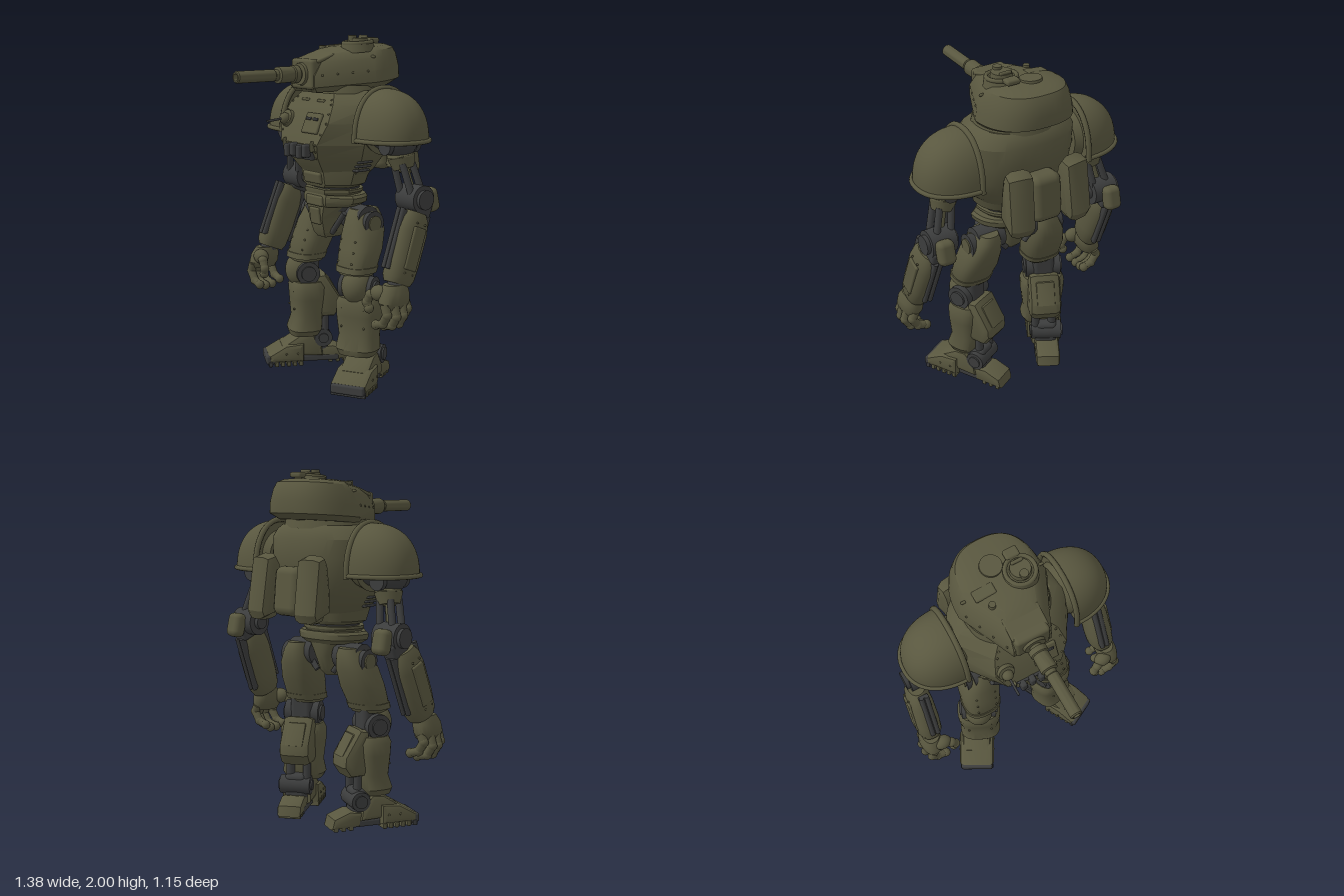
import * as THREE from 'three';
import { toCreasedNormals } from 'three/addons/utils/BufferGeometryUtils.js';
import { RoundedBoxGeometry } from 'three/addons/geometries/RoundedBoxGeometry.js';

const V = (p) => new THREE.Vector3(...p);
const olive = new THREE.MeshStandardMaterial({ name: 'olive armour', color: 0x59573f, side: THREE.DoubleSide });
const steel = new THREE.MeshStandardMaterial({ name: 'dark steel', color: 0x3c3d3d });

function add(parent, name, geo, mat, pos = [0, 0, 0], rot = [0, 0, 0]) {
  const m = new THREE.Mesh(geo, mat);
  m.name = name;
  m.position.set(...pos);
  m.rotation.set(...rot);
  parent.add(m);
  return m;
}
const box = (w, h, d, r = 0.012) => new RoundedBoxGeometry(w, h, d, 2, Math.min(r, w / 2.1, h / 2.1, d / 2.1));
const cyl = (r1, r2, h, n = 24) => new THREE.CylinderGeometry(r1, r2, h, n);
const ball = (r) => new THREE.SphereGeometry(r, 24, 16);
const AX = [0, 0, Math.PI / 2], AZ = [Math.PI / 2, 0, 0];
const pow = (v, p) => Math.sign(v) * Math.abs(v) ** p;

// Rod from a to b
function rod(parent, name, mat, a, b, ra, rb = ra, n = 14) {
  const d = V(b).sub(V(a));
  const m = add(parent, name, cyl(rb, ra, d.length(), n), mat, V(a).add(V(b)).multiplyScalar(0.5).toArray());
  m.quaternion.setFromUnitVectors(new THREE.Vector3(0, 1, 0), d.normalize());
  return m;
}
// Skin over rings of points, listed from bottom to top
function loft(rings, crease = 0.6) {
  const n = rings[0].length, pos = rings.flat(2), idx = [];
  for (let i = 0; i < rings.length - 1; i++) for (let j = 0; j < n; j++) {
    const a = i * n + j, b = i * n + (j + 1) % n;
    idx.push(a, b, b + n, a, b + n, a + n);
  }
  [0, rings.length - 1].forEach((r) => {
    const c = [0, 1, 2].map((k) => rings[r].reduce((s, p) => s + p[k], 0) / n), ci = pos.length / 3;
    pos.push(...c);
    for (let j = 0; j < n; j++) {
      const a = r * n + j, b = r * n + (j + 1) % n;
      idx.push(ci, ...(r ? [a, b] : [b, a]));
    }
  });
  const g = new THREE.BufferGeometry();
  g.setAttribute('position', new THREE.Float32BufferAttribute(pos, 3));
  g.setIndex(idx);
  return toCreasedNormals(g, crease);
}
// Hull section: flat front, slanted cheeks, round back
function hull([y, w, fw, zf, zb], k, tilt = 0) {
  const zm = zf - k * (zf - zb), pts = [[fw, zf]];
  for (let i = 0; i <= 24; i++) {
    const t = Math.PI * i / 24;
    pts.push([w * pow(Math.cos(t), 0.8), zm + (zb - zm) * Math.sin(t) ** 0.8]);
  }
  pts.push([-fw, zf]);
  return pts.map(([x, z]) => [x, y - tilt * (z + 0.15), z]);
}
// Superellipse section
function oval([cx, y, cz, w, d], p = 0.7) {
  return Array.from({ length: 28 }, (_, i) => {
    const t = i / 28 * Math.PI * 2;
    return [cx + w * pow(Math.cos(t), p), y, cz - d * pow(Math.sin(t), p)];
  });
}
// Side profile in (z, y), widened along x
function slab(profile, width, bevel = 0.015) {
  const g = new THREE.ExtrudeGeometry(new THREE.Shape(profile.map((p) => new THREE.Vector2(...p))), {
    depth: width - 2 * bevel, bevelSize: bevel, bevelThickness: bevel, bevelOffset: -bevel, bevelSegments: 2 });
  g.translate(0, 0, bevel - width / 2).rotateY(-Math.PI / 2);
  return toCreasedNormals(g, 0.5);
}
const pipe = (points, r) => new THREE.TubeGeometry(new THREE.CatmullRomCurve3(points.map(V)), 40, r, 8);
const rivetGeo = new THREE.SphereGeometry(0.0065, 8, 6);
const rivet = (g, p) => add(g, 'rivet', rivetGeo, olive, p);

// Baked mirror image of a side group
function mirrored(group, name) {
  const out = new THREE.Group();
  out.name = name;
  group.updateMatrixWorld(true);
  group.traverse((m) => {
    if (!m.isMesh) return;
    const g = m.geometry.index ? m.geometry.toNonIndexed() : m.geometry.clone();
    g.applyMatrix4(new THREE.Matrix4().makeScale(-1, 1, 1).multiply(m.matrixWorld));
    for (const a of Object.values(g.attributes)) for (let i = 0; i < a.count; i += 3) for (let k = 0; k < a.itemSize; k++) {
      const t = a.getComponent(i + 1, k);
      a.setComponent(i + 1, k, a.getComponent(i + 2, k));
      a.setComponent(i + 2, k, t);
    }
    add(out, m.name, g, m.material);
  });
  return out;
}

function buildTurret() {
  const g = new THREE.Group();
  g.name = 'turret';
  const rows = [[1.705, 0.235, 0.1, 0.1, -0.42], [1.735, 0.262, 0.11, 0.125, -0.488], [1.8, 0.252, 0.11, 0.125, -0.49],
    [1.87, 0.228, 0.1, 0.07, -0.475], [1.905, 0.208, 0.09, 0.01, -0.455], [1.923, 0.18, 0.07, -0.04, -0.41], [1.933, 0.1, 0.04, -0.1, -0.32]];
  add(g, 'turret shell', loft(rows.map((r) => hull(r, 0.52, 0.08)), 0.5), olive);
  add(g, 'mantlet', box(0.2, 0.17, 0.1, 0.02), olive, [0, 1.785, 0.085]);
  add(g, 'mantlet roof', box(0.21, 0.02, 0.13), olive, [0, 1.872, 0.04], [0.3, 0, 0]);
  add(g, 'mantlet collar', cyl(0.06, 0.068, 0.03, 28), olive, [0, 1.785, 0.135], AZ);
  // Gun barrel along z
  const gun = [[0, 0], [0.05, 0], [0.05, 0.03], [0.032, 0.035], [0.032, 0.05], [0.05, 0.055], [0.05, 0.085], [0.043, 0.09], [0.046, 0.185], [0.032, 0.19],
    [0.029, 0.21], [0.033, 0.215], [0.033, 0.455], [0.028, 0.462], [0.02, 0.462], [0.02, 0.43], [0, 0.43]];
  add(g, 'gun barrel', toCreasedNormals(new THREE.LatheGeometry(gun.map((p) => new THREE.Vector2(...p)), 28), 0.6), olive, [0, 1.785, 0.113], AZ);
  // Roof fittings
  add(g, 'cupola base', cyl(0.088, 0.098, 0.05, 36), olive, [0.1, 1.93, -0.19], [0.08, 0, 0]);
  add(g, 'cupola rim', new THREE.TorusGeometry(0.08, 0.012, 8, 36), olive, [0.1, 1.955, -0.19], [Math.PI / 2 + 0.08, 0, 0]);
  add(g, 'cupola hatch', cyl(0.055, 0.06, 0.03), olive, [0.1, 1.965, -0.19]);
  add(g, 'hatch periscope', cyl(0.024, 0.024, 0.03), olive, [0.1, 1.98, -0.15]);
  add(g, 'hatch hinge', box(0.08, 0.03, 0.06), olive, [0.1, 1.965, -0.29]);
  add(g, 'hatch handle', box(0.07, 0.02, 0.02), olive, [0.1, 1.985, -0.23]);
  add(g, 'loader hatch', cyl(0.06, 0.064, 0.03), olive, [-0.02, 1.94, -0.285], [0.08, 0, 0]);
  add(g, 'roof plate', box(0.12, 0.02, 0.065), olive, [-0.115, 1.925, -0.18], [0.08, 0, 0.1]);
  add(g, 'roof vent', cyl(0.018, 0.02, 0.025), olive, [-0.11, 1.92, -0.1]);
  for (const s of [-1, 1]) {
    add(g, 'lifting eye', box(0.03, 0.016, 0.016), olive, [s * 0.225, 1.88, -0.2]);
    for (let i = 0; i < 4; i++) {
      const t = (i + 0.5) / 4, z = 0.125 - 0.32 * t;
      rivet(g, [s * (0.11 + 0.142 * t), 1.8 - 0.08 * (z + 0.15), z]);
    }
  }
  return g;
}

function buildTorso() {
  const g = new THREE.Group();
  g.name = 'torso';
  const rows = [[1.18, 0.17, 0.08, 0.02, -0.25], [1.21, 0.21, 0.09, 0.04, -0.275], [1.25, 0.25, 0.105, 0.07, -0.305], [1.32, 0.296, 0.13, 0.12, -0.355],
    [1.4, 0.325, 0.165, 0.155, -0.395], [1.52, 0.335, 0.215, 0.115, -0.415], [1.62, 0.33, 0.19, 0.06, -0.41], [1.67, 0.29, 0.15, 0.02, -0.39], [1.695, 0.25, 0.12, 0, -0.37]];
  add(g, 'chest shell', loft(rows.map((r) => hull(r, 0.38)), 0.45), olive);
  add(g, 'turret ring', cyl(0.235, 0.245, 0.045, 48).scale(1, 1, 0.9), olive, [0, 1.7, -0.17]);
  // Rivets along the edges of the chest panel
  for (let i = 3; i < 7; i++) for (let k = 0; k < 2; k++) for (const s of [-1, 1]) {
    const p = rows[i].map((v, c) => v + (rows[i + 1][c] - v) * k / 2);
    rivet(g, [s * (p[2] - 0.015), p[0], p[3]]);
  }
  add(g, 'chest hatch', box(0.14, 0.12, 0.02), olive, [0.08, 1.515, 0.118], [-0.42, 0, 0]);
  [0.05, 0.11].forEach((x) => add(g, 'vision slit', box(0.045, 0.016, 0.012, 0.004), steel, [x, 1.54, 0.119], [-0.42, 0, 0]));
  add(g, 'gun port', cyl(0.046, 0.052, 0.03), olive, [-0.155, 1.525, 0.114], [Math.PI / 2 - 0.4, 0, 0]);
  add(g, 'gun ball', ball(0.032), olive, [-0.155, 1.525, 0.135]);
  rod(g, 'machine gun', steel, [-0.155, 1.525, 0.15], [-0.155, 1.515, 0.26], 0.007);
  add(g, 'grille', box(0.21, 0.09, 0.05), steel, [0, 1.355, 0.13], [0.4, 0, 0]);
  [-0.08, -0.025, 0.03, 0.085].forEach((x, i) => add(g, 'grille block', box(0.035, 0.075, 0.05), steel, [x, 1.355 + (i % 2) * 0.01, 0.168]));
  [-1, 1].forEach((s) => add(g, 'grille bracket', box(0.014, 0.06, 0.03), olive, [s * 0.125, 1.39, 0.155]));
  [-0.07, 0.07].forEach((x) => add(g, 'chest clasp', box(0.07, 0.016, 0.02), olive, [x, 1.635, 0.045]));
  add(g, 'back housing', box(0.18, 0.27, 0.14, 0.045), olive, [0, 1.34, -0.45], [0.1, 0, 0]);
  // Abdomen and pelvis
  add(g, 'abdomen core', loft([[0, 1, -0.11, 0.13, 0.1], [0, 1.12, -0.11, 0.155, 0.12], [0, 1.22, -0.11, 0.17, 0.13]].map((r) => oval(r, 0.9))), steel);
  const plate = (name, r) => add(g, name, loft(r.map((q) => hull(q, 0.35)), 0.4), olive);
  plate('upper abdomen plate', [[1.14, 0.16, 0.08, 0.035, -0.245], [1.16, 0.2, 0.1, 0.045, -0.26], [1.25, 0.235, 0.1, 0.06, -0.285]]);
  plate('middle abdomen plate', [[1.085, 0.15, 0.08, 0.03, -0.235], [1.115, 0.185, 0.09, 0.04, -0.25], [1.13, 0.185, 0.09, 0.04, -0.25]]);
  plate('belt', [[1.03, 0.17, 0.09, 0.03, -0.24], [1.055, 0.215, 0.1, 0.04, -0.26], [1.085, 0.222, 0.1, 0.04, -0.26], [1.1, 0.205, 0.1, 0.035, -0.255]]);
  plate('pelvis', [[0.84, 0.045, 0.035, -0.01, -0.16], [0.87, 0.07, 0.05, 0.01, -0.19], [0.96, 0.085, 0.06, 0.035, -0.23], [1.05, 0.14, 0.08, 0.035, -0.245]]);
  add(g, 'abdomen boss', box(0.16, 0.07, 0.03, 0.014), olive, [0, 1.195, 0.05], [0.25, 0, 0]);
  add(g, 'belt buckle', box(0.15, 0.06, 0.03), olive, [0, 1.06, 0.035]);
  add(g, 'pelvis plate', box(0.09, 0.1, 0.02), olive, [0, 0.97, 0.035], [0.15, 0, 0]);
  return g;
}

// Backpack pod, vent, shoulder, arm and hand on +x
function buildArm() {
  const g = new THREE.Group();
  g.name = 'left arm';
  const pod = [[0.06, 0.13], [0.03, 0.18], [-0.04, 0.16], [-0.085, -0.13], [-0.065, -0.175], [0.09, -0.13], [0.08, 0.02]];
  add(g, 'backpack pod', slab(pod, 0.16, 0.045), olive, [0.172, 1.36, -0.485], [0, -0.15, 0]);
  add(g, 'pod nozzle', cyl(0.06, 0.052, 0.03), olive, [0.172, 1.207, -0.475], [-0.28, 0, 0]);
  add(g, 'pod exhaust', cyl(0.04, 0.04, 0.034), steel, [0.172, 1.206, -0.475], [-0.28, 0, 0]);
  for (let i = 0; i < 3; i++) add(g, 'side vent', box(0.04, 0.014, 0.1), steel, [0.245 + i * 0.013, 1.25 + i * 0.025, -0.1]);
  // Quarter-dome pauldron with full shoulders
  const dome = new THREE.SphereGeometry(1, 32, 20, Math.PI / 2, Math.PI, 0, Math.PI / 2), dp = dome.attributes.position;
  for (let i = 0; i < dp.count; i++) dp.setXYZ(i, pow(dp.getX(i), 0.88), pow(dp.getY(i), 0.88), pow(dp.getZ(i), 0.88));
  dome.scale(0.275, 0.275, 0.208).computeVertexNormals();
  add(g, 'pauldron', dome, olive, [0.335, 1.435, -0.185]);
  const arc = (f) => Array.from({ length: 17 }, (_, i) => f(pow(Math.cos(i / 16 * Math.PI), 0.88), Math.sin(i / 16 * Math.PI) ** 0.88));
  add(g, 'pauldron lip', pipe(arc((c, s) => [0.335 + 0.28 * s, 1.435, -0.185 + 0.21 * c]), 0.013), olive);
  add(g, 'pauldron collar', pipe(arc((c, s) => [0.333, 1.42 + 0.293 * s, -0.185 + 0.21 * c]), 0.016), olive);
  add(g, 'pauldron inner wall', new THREE.CircleGeometry(1, 32, 0, Math.PI).scale(0.208, 0.285, 1), olive, [0.335, 1.425, -0.185], [0, Math.PI / 2, 0]);
  add(g, 'shoulder mount', cyl(0.14, 0.16, 0.06, 32), olive, [0.318, 1.5, -0.185], AX);
  add(g, 'shoulder axle', cyl(0.12, 0.12, 0.11), steel, [0.395, 1.49, -0.185], AX);
  add(g, 'shoulder joint', ball(0.105), steel, [0.46, 1.44, -0.19]);
  [-1, 1].forEach((s) => add(g, 'shoulder bracket', cyl(0.05, 0.05, 0.03), steel, [0.465, 1.41, -0.19 + s * 0.1], AZ));
  // Upper arm
  rod(g, 'upper arm collar', olive, [0.48, 1.28, -0.21], [0.465, 1.345, -0.2], 0.06, 0.078, 20);
  rod(g, 'upper arm cap', olive, [0.465, 1.345, -0.2], [0.46, 1.385, -0.195], 0.078, 0.06, 20);
  for (const [x, z] of [[-1, -1], [1, -1], [-1, 1], [1, 1]])
    rod(g, 'upper arm strut', steel, [0.515 + x * 0.045, 1.13, -0.24 + z * 0.04], [0.475 + x * 0.036, 1.31, -0.205 + z * 0.036], 0.02);
  rod(g, 'upper arm rod', olive, [0.515, 1.15, -0.24], [0.477, 1.3, -0.21], 0.022);
  add(g, 'elbow', cyl(0.078, 0.078, 0.15, 28), steel, [0.525, 1.115, -0.25], AX);
  add(g, 'elbow cap', cyl(0.04, 0.055, 0.195), steel, [0.525, 1.115, -0.25], AX);
  add(g, 'elbow guard', box(0.1, 0.14, 0.08, 0.032), olive, [0.54, 1.1, -0.35], [0.25, 0, 0]);
  add(g, 'elbow link', box(0.09, 0.09, 0.12, 0.02), steel, [0.555, 1.06, -0.26], [-0.37, 0, 0]);
  // Forearm, swung forward, with sunken pistons front and back
  const f = new THREE.Group();
  f.name = 'forearm';
  f.position.set(0.582, 0.86, -0.14);
  f.rotation.set(-0.37, 0, 0.04);
  g.add(f);
  add(f, 'forearm shell', loft([[0, -0.205, 0, 0.06, 0.078], [0, -0.17, 0, 0.074, 0.092], [0, -0.08, 0, 0.077, 0.1], [0, 0.09, 0, 0.072, 0.104],
    [0, 0.16, 0, 0.064, 0.092], [0, 0.2, 0, 0.045, 0.07]].map((r) => oval(r, 0.85))), olive);
  [-1, 1].forEach((t) => {
    add(f, 'forearm slot', box(0.06, 0.33, 0.03, 0.008), steel, [-0.012, 0.03, t * 0.088]);
    [-1, 1].forEach((s) => add(f, 'forearm piston', cyl(0.014, 0.014, 0.34, 12), steel, [-0.012 + s * 0.016, 0.03, t * 0.1]));
  });
  add(f, 'forearm panel', box(0.02, 0.24, 0.09), olive, [0.07, 0, 0]);
  for (const y of [-0.14, 0.14]) for (const z of [-0.03, 0.03]) rivet(f, [0.07, y, z]);
  // Hand with curled fingers
  rod(g, 'wrist', steel, [0.595, 0.72, -0.085], [0.6, 0.62, -0.04], 0.055, 0.05);
  add(g, 'palm', loft([[0.615, 0.545, -0.028, 0.045, 0.075], [0.612, 0.58, -0.03, 0.062, 0.095], [0.605, 0.63, -0.035, 0.064, 0.09],
    [0.6, 0.675, -0.045, 0.05, 0.07]].map((r) => oval(r, 0.85))), olive);
  add(g, 'thumb base', ball(1).scale(0.055, 0.045, 0.042), olive, [0.555, 0.625, 0.03]);
  const finger = (name, pts, r) => pts.slice(1).forEach((p, i) => {
    rod(g, name, olive, pts[i], p, r * (1 - 0.05 * i), r * (0.94 - 0.05 * i), 12);
    add(g, name + ' joint', new THREE.SphereGeometry(r * 1.02, 12, 8), olive, p);
  });
  [[0.022, 0.025], [0, 0], [0, -0.003], [0.02, 0.01]].forEach(([inset, d], i) => {
    const z = -0.105 + i * 0.05;
    finger('finger', [[0.64 - inset, 0.575, z], [0.66 - inset, 0.51 + d, z], [0.625 - inset, 0.455 + d, z], [0.56 - inset / 2, 0.438 + d, z]], 0.027);
  });
  finger('thumb', [[0.56, 0.625, 0.03], [0.505, 0.61, 0.05], [0.483, 0.565, 0.055], [0.495, 0.53, 0.05]], 0.028);
  return g;
}

// Hip, thigh, knee, shin and foot on +x
function buildLeg() {
  const g = new THREE.Group();
  g.name = 'left leg';
  add(g, 'hip joint', cyl(0.075, 0.075, 0.17, 28), steel, [0.17, 0.965, -0.15], AX);
  add(g, 'hip disc', cyl(0.06, 0.07, 0.05), steel, [0.275, 0.945, -0.155], AX);
  add(g, 'hip cap', cyl(0.035, 0.045, 0.07), olive, [0.275, 0.945, -0.155], AX);
  [-0.04, -0.18].forEach((z) => rod(g, 'hip strut', steel, [0.06, 0.87, z], [0.17, 1, z], 0.016));
  add(g, 'thigh', loft([[0.235, 0.655, -0.075, 0.095, 0.085], [0.235, 0.69, -0.08, 0.11, 0.1], [0.222, 0.8, -0.12, 0.118, 0.112], [0.21, 0.9, -0.15, 0.105, 0.115],
    [0.195, 0.98, -0.165, 0.078, 0.105], [0.188, 1.02, -0.17, 0.058, 0.085]].map((r) => oval(r, 0.75))), olive);
  add(g, 'thigh band', loft([[0.236, 0.672, -0.075, 0.114, 0.102], [0.234, 0.705, -0.085, 0.117, 0.107]].map((r) => oval(r, 0.75))), olive);
  for (let i = 0; i < 3; i++) [-1, 1].forEach((s) => rivet(g, [0.23 - i * 0.005 + s * 0.06, 0.73 + i * 0.06, 0.005 - i * 0.018]));
  // Lower leg, turned outward
  const k = new THREE.Group();
  k.name = 'lower leg';
  k.position.set(0.25, 0, -0.09);
  k.rotation.y = 0.42;
  g.add(k);
  add(k, 'knee axle', cyl(0.07, 0.07, 0.205, 28), steel, [0, 0.58, 0.01], AX);
  add(k, 'knee hub', cyl(0.045, 0.045, 0.23), steel, [0, 0.58, 0.01], AX);
  add(k, 'knee cap', ball(1).scale(0.088, 0.105, 0.095), olive, [0, 0.59, 0.035]);
  add(k, 'knee link', box(0.13, 0.2, 0.1, 0.03), steel, [0, 0.6, -0.02]);
  add(k, 'shin', loft([[0, 0.19, 0.02, 0.105, 0.085], [0, 0.225, 0.015, 0.125, 0.1], [0, 0.3, 0, 0.115, 0.09], [0, 0.42, 0, 0.13, 0.1],
    [0, 0.49, 0, 0.132, 0.105], [0, 0.525, 0, 0.115, 0.09]].map((r) => oval(r))), olive);
  add(k, 'calf armour', slab([[-0.04, 0.56], [-0.1, 0.57], [-0.195, 0.42], [-0.2, 0.36], [-0.16, 0.3], [-0.04, 0.3]], 0.19, 0.035), olive);
  add(k, 'calf panel', slab([[-0.1, 0.54], [-0.13, 0.54], [-0.2, 0.42], [-0.17, 0.41]], 0.11, 0.01), olive);
  [-0.05, 0.05].forEach((x) => rod(k, 'calf piston', steel, [x, 0.15, -0.1], [x, 0.36, -0.1], 0.024));
  for (const y of [0.24, 0.36, 0.47]) [-1, 1].forEach((s) => rivet(k, [s * 0.07, y, 0.092]));
  // Foot, toes outward
  const f = new THREE.Group();
  f.name = 'foot';
  f.position.set(0.226, 0, -0.185);
  f.rotation.y = 0.5;
  g.add(f);
  add(f, 'ankle', cyl(0.055, 0.055, 0.18), steel, [0, 0.165, 0], AX);
  add(f, 'ankle hub', cyl(0.03, 0.036, 0.2), steel, [0, 0.165, 0], AX);
  add(f, 'ankle core', box(0.13, 0.19, 0.16, 0.03), steel, [0, 0.14, 0.04]);
  add(f, 'instep', slab([[0, 0.05], [0.27, 0.06], [0.25, 0.12], [0.14, 0.19], [0.07, 0.195], [0.01, 0.12]], 0.18, 0.025), olive);
  add(f, 'toe cap', slab([[0.12, 0.025], [0.33, 0.025], [0.335, 0.07], [0.23, 0.13], [0.12, 0.14]], 0.22, 0.025), olive);
  add(f, 'toe bumper', box(0.2, 0.055, 0.06), steel, [0, 0.042, 0.322]);
  add(f, 'heel', slab([[-0.17, 0.015], [0, 0.02], [0.02, 0.1], [-0.06, 0.11], [-0.155, 0.075]], 0.145, 0.02), olive, [0.005, 0, 0]);
  add(f, 'sole', box(0.14, 0.04, 0.4), steel, [0, 0.035, 0.1]);
  for (let i = 0; i < 6; i++) add(f, 'toe tread', box(0.21, 0.03, 0.025, 0.005), i > 4 ? steel : olive, [0, 0.015, 0.14 + i * 0.037]);
  for (let i = 0; i < 3; i++) add(f, 'heel tread', box(0.13, 0.03, 0.025, 0.005), olive, [0.005, 0.015, -0.14 + i * 0.045]);
  [-1, 1].forEach((s) => [0.16, 0.23].forEach((z) => rivet(f, [s * 0.11, 0.08, z])));
  return g;
}

export function createModel() {
  const model = new THREE.Group();
  model.name = 'armoured robot';
  const arm = buildArm(), leg = buildLeg();
  model.add(buildTurret(), buildTorso(), mirrored(arm, 'right arm'), mirrored(leg, 'right leg'), arm, leg);
  return model;
}
